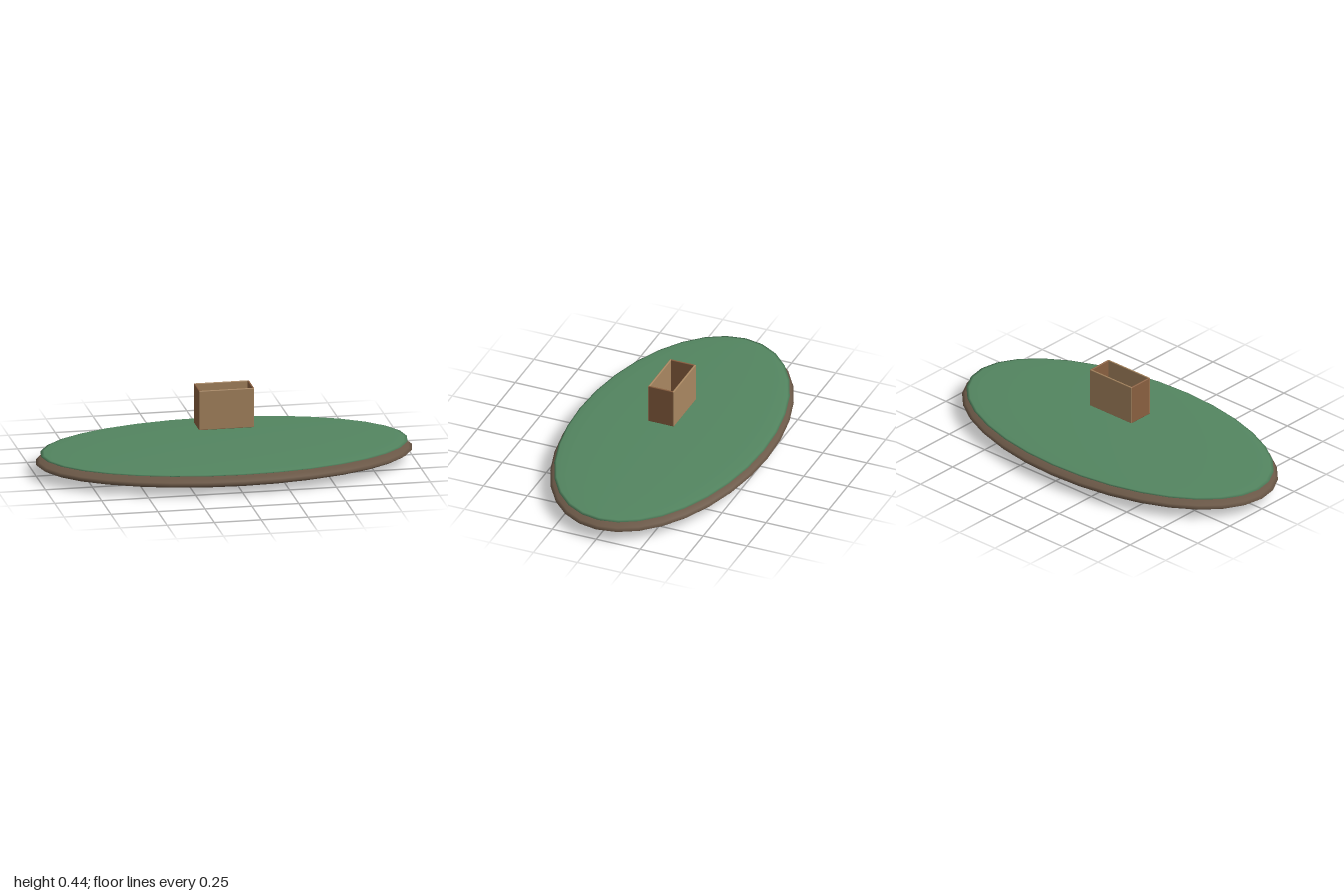
import * as THREE from 'three';
import { RoundedBoxGeometry } from 'three/addons/geometries/RoundedBoxGeometry.js';

export function createModel() {
  const model = new THREE.Group();
  model.name = 'islandWithCrate';

  const mat = (name, color) => {
    const m = new THREE.MeshStandardMaterial({ color });
    m.name = name;
    return m;
  };
  const earth = mat('earth', 0x6b5847);
  const grass = mat('grass', 0x538560);
  const lightWood = mat('lightWood', 0xa88660);
  const darkWood = mat('darkWood', 0x8a6040);

  const add = (parent, name, geometry, material, x, y, z) => {
    const mesh = new THREE.Mesh(geometry, material);
    mesh.name = name;
    mesh.position.set(x, y, z);
    parent.add(mesh);
  };

  // Flattened ellipsoids: earth base with a thinner grass layer on top
  const disc = (rx, ry, rz) => new THREE.SphereGeometry(1, 32, 16).scale(rx, ry, rz);
  add(model, 'earthBase', disc(1, 0.06, 0.545), earth, 0, 0.06, 0);
  add(model, 'grassTop', disc(0.975, 0.018, 0.525), grass, 0, 0.104, 0);

  // Open crate hovering above the grass
  const crate = new THREE.Group();
  crate.name = 'crate';
  crate.position.y = 0.328;
  model.add(crate);

  const w = 0.294, h = 0.214, d = 0.148, t = 0.01;
  const panel = (x, y, z) => new RoundedBoxGeometry(x, y, z, 2, 0.004);
  for (const s of [1, -1]) {
    add(crate, s > 0 ? 'frontPanel' : 'backPanel', panel(w, h, t), lightWood, 0, 0, s * (d - t) / 2);
    add(crate, s > 0 ? 'leftPanel' : 'rightPanel', panel(t, h, d - 0.006), darkWood, s * (w - t + 0.001) / 2, 0, 0);
  }
  add(crate, 'cratefloor', panel(w - t, t, d - t), darkWood, 0, -(h - t) / 2 + 0.001, 0);

  return model;
}
